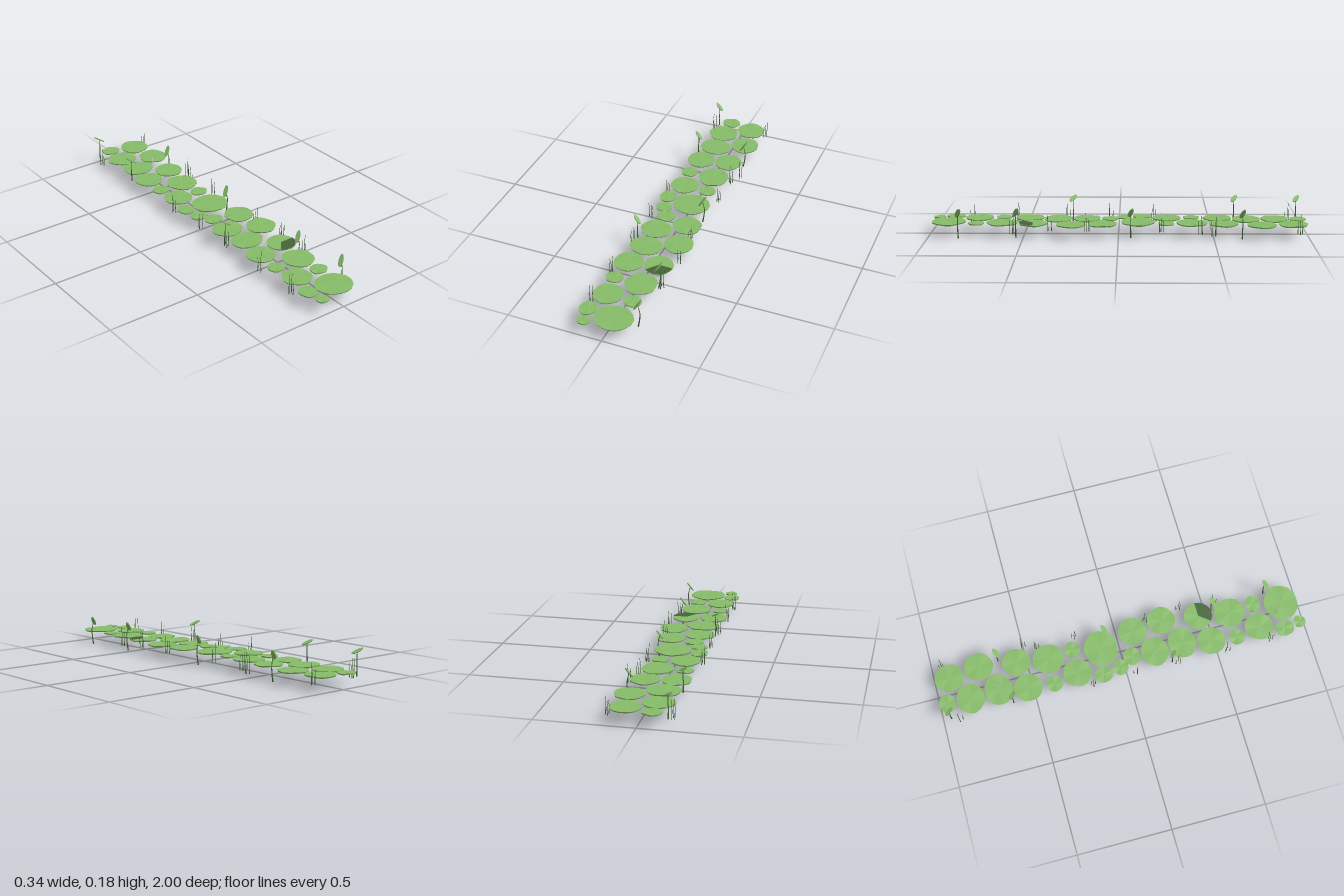
import * as THREE from 'three';

const leafMat = new THREE.MeshStandardMaterial({ color: 0x86bb68, flatShading: true, side: THREE.DoubleSide });
const stemMat = new THREE.MeshStandardMaterial({ color: 0x48663a, side: THREE.DoubleSide });
const shadeMat = new THREE.MeshStandardMaterial({ color: 0x466338, side: THREE.DoubleSide });
const WATER = 0.068;

// Floating pad: thin disc with a slit, wavy rim and slightly dished middle
function pad(x, z, rx, rz, i) {
  const slit = 0.04, start = i * 1.9;
  const geo = new THREE.CylinderGeometry(1, 0.96, 0.007, 18, 1, false, start, Math.PI * 2 - slit);
  const p = geo.attributes.position;
  for (let k = 0; k < p.count; k++) {
    const px = p.getX(k), pz = p.getZ(k), a = Math.atan2(pz, px), r = Math.hypot(px, pz);
    const wave = 1 - 0.02 * (1 + Math.sin(5 * a + i));
    p.setXYZ(k, px * rx * wave, p.getY(k) + r * 0.0015 * Math.sin(4 * a + i * 2), pz * rz * wave);
  }
  geo.computeVertexNormals();
  const mesh = new THREE.Mesh(geo, leafMat);
  mesh.position.set(x, WATER + 0.001 * Math.sin(i * 2.3), z);
  mesh.name = 'lilyPad';
  return mesh;
}

// Curved thin stalk through a few points
function stalk(points, radius, name) {
  const curve = new THREE.CatmullRomCurve3(points.map(q => new THREE.Vector3(...q)));
  const geo = new THREE.TubeGeometry(curve, 6, radius, 5);
  const p = geo.attributes.position, c = new THREE.Vector3();
  // taper towards the tip
  for (let k = 0; k < p.count; k++) {
    const t = Math.floor(k / 6) / 6;
    curve.getPointAt(t, c);
    const s = 1 - 0.65 * t;
    p.setXYZ(k, c.x + (p.getX(k) - c.x) * s, c.y + (p.getY(k) - c.y) * s, c.z + (p.getZ(k) - c.z) * s);
  }
  const mesh = new THREE.Mesh(geo, stemMat);
  mesh.name = name;
  return mesh;
}

// Small raised leaf: tilted oval plate whose long axis and normal are given
function raisedLeaf(center, axis, normal) {
  const d = new THREE.Vector3(...axis), half = d.length() / 2;
  d.normalize();
  const n = new THREE.Vector3(...normal);
  n.addScaledVector(d, -n.dot(d)).normalize();
  const w = new THREE.Vector3().crossVectors(d, n);
  const geo = new THREE.CylinderGeometry(1, 0.9, 0.005, 12);
  geo.scale(half, 1, 0.013);
  geo.applyMatrix4(new THREE.Matrix4().makeBasis(d, n, w));
  const mesh = new THREE.Mesh(geo, leafMat);
  mesh.position.set(...center);
  mesh.name = 'raisedLeaf';
  return mesh;
}

export function createModel() {
  const model = new THREE.Group();
  model.name = 'lilyPadStrip';

  // One run of pads, laid twice along z: x, z, rx, rz
  const run = [
    [-0.065, -0.957, 0.052, 0.045], [0.07, -0.918, 0.079, 0.079], [-0.07, -0.833, 0.084, 0.076],
    [0.09, -0.754, 0.079, 0.079], [-0.06, -0.68, 0.089, 0.076], [-0.09, -0.527, 0.078, 0.078],
    [0.063, -0.555, 0.077, 0.077], [-0.105, -0.388, 0.046, 0.044], [0.037, -0.388, 0.084, 0.086],
    [-0.08, -0.257, 0.078, 0.078], [0.053, -0.252, 0.048, 0.043], [-0.125, -0.125, 0.045, 0.052],
    [0.02, -0.103, 0.102, 0.092], [-0.108, -0.028, 0.044, 0.042],
  ];
  const pads = new THREE.Group();
  pads.name = 'pads';
  for (let half = 0; half < 2; half++) {
    run.forEach(([x, z, rx, rz], i) => {
      const last = half === 1 && i === run.length - 1;
      const s = last ? 0.78 : 1;
      pads.add(pad(x, last ? 0.965 : z + half * 1.003, rx * s, rz * s, i));
    });
  }
  model.add(pads);

  // Dark sector on one pad
  const sector = new THREE.CircleGeometry(0.075, 7, 0, 2.25);
  sector.rotateX(Math.PI / 2);
  const shade = new THREE.Mesh(sector, shadeMat);
  shade.position.set(0.063, WATER + 0.0065, 0.449);
  shade.name = 'darkSector';
  model.add(shade);

  // Raised leaves along the -x edge
  for (const z of [-0.955, -0.62, 0.247]) {
    model.add(raisedLeaf([-0.142, 0.164, z], [0.047, -0.027, 0.033], [0.5, 0.86, 0]));
    model.add(stalk([[-0.141, 0.04, z], [-0.143, 0.09, z], [-0.14, 0.13, z], [-0.142, 0.163, z]], 0.004, 'leafStem'));
  }
  // Raised leaves along the +x edge
  for (const [x, z] of [[0.119, -0.648], [0.098, -0.065], [0.098, 0.537], [0.119, 0.838]]) {
    model.add(raisedLeaf([x, 0.134, z], [0.036, 0.054, -0.022], [-0.82, 0.52, 0.2]));
    model.add(stalk([[x + 0.002, 0.001, z], [x + 0.01, 0.05, z], [x + 0.011, 0.09, z], [x, 0.132, z]], 0.004, 'leafStem'));
  }

  // Clusters of thin reeds: x, z
  const clusters = [
    [0.15, -0.945], [0.155, -0.5], [0.125, -0.43], [0.13, -0.225], [0.14, 0.36], [0.12, 0.165], [0.125, 0.555],
    [-0.155, -0.91], [-0.155, -0.19], [-0.152, 0.045], [-0.155, 0.275], [-0.155, 0.55], [-0.152, 0.79],
  ];
  const reeds = new THREE.Group();
  reeds.name = 'reeds';
  clusters.forEach(([x, z], i) => {
    for (let k = 0; k < 3; k++) {
      const a = i * 1.7 + k * 2.1;
      const rx = x + 0.009 * Math.cos(a), rz = z + 0.013 * Math.sin(a);
      const low = 0.034 + 0.011 * Math.sin(a * 3), top = 0.118 + 0.022 * Math.cos(a * 2);
      const lean = 0.003 * Math.sin(a * 5);
      reeds.add(stalk([[rx, low, rz], [rx + lean, (low + top) / 2, rz], [rx - lean, top, rz + lean]], 0.0023, 'reed'));
    }
  });
  model.add(reeds);
  return model;
}
